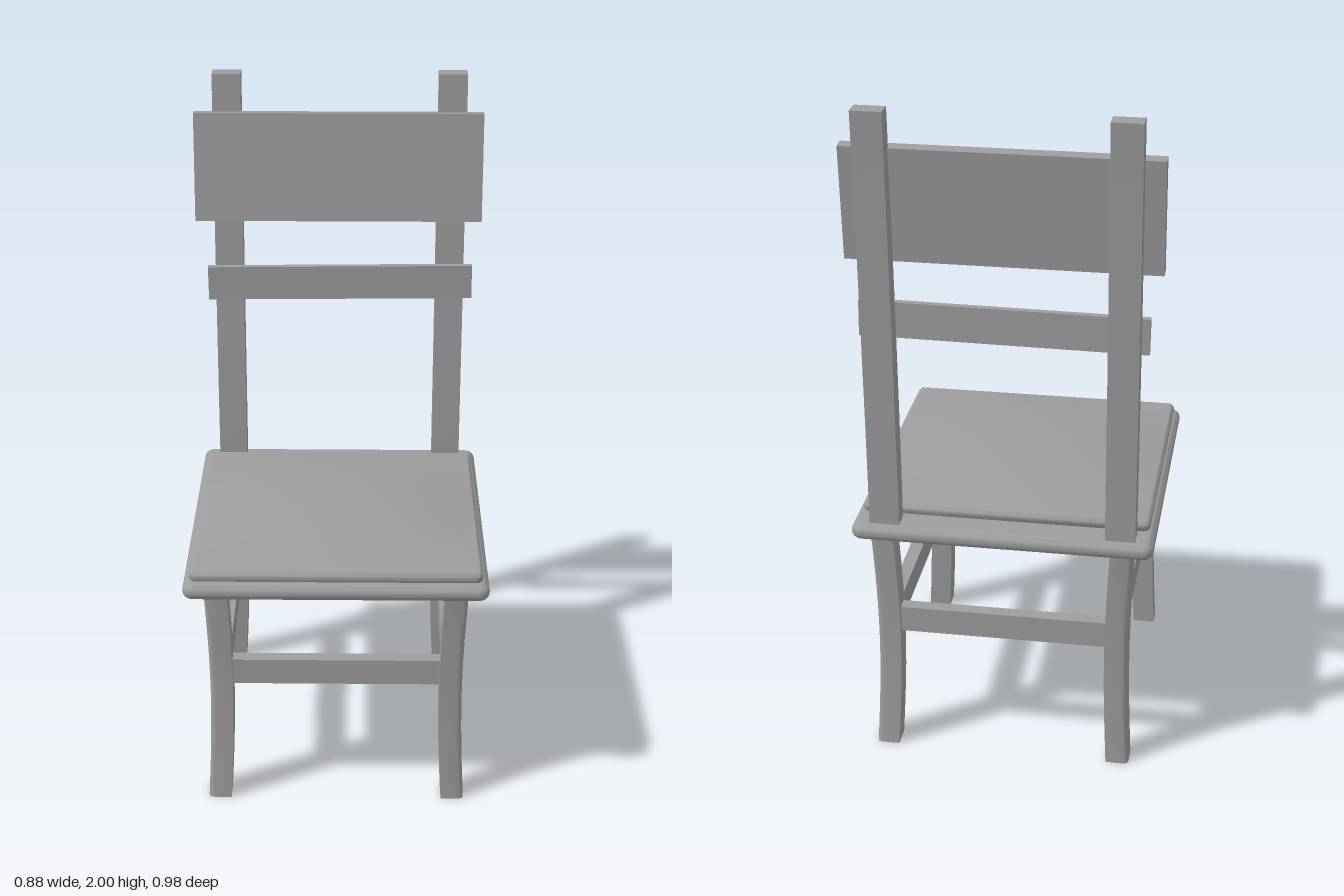
import * as THREE from 'three';
import { toCreasedNormals } from 'three/addons/utils/BufferGeometryUtils.js';

const material = new THREE.MeshStandardMaterial({ color: 0x9d9d9d });

// Moves every vertex by a rule, then keeps hard edges sharp
function bend(geometry, rule) {
  const p = geometry.attributes.position;
  const v = new THREE.Vector3();
  for (let i = 0; i < p.count; i++) {
    rule(v.fromBufferAttribute(p, i));
    p.setXYZ(i, v.x, v.y, v.z);
  }
  return toCreasedNormals(geometry, 0.6);
}

// Horizontal slab with rounded corners and bevelled rim
function slab(x, z0, z1, y0, y1, corner, bevel) {
  const a = x - bevel, b = (z1 - z0) / 2 - bevel, r = corner;
  const s = new THREE.Shape();
  s.moveTo(-a + r, -b);
  s.lineTo(a - r, -b).absarc(a - r, -b + r, r, -Math.PI / 2, 0);
  s.lineTo(a, b - r).absarc(a - r, b - r, r, 0, Math.PI / 2);
  s.lineTo(-a + r, b).absarc(-a + r, b - r, r, Math.PI / 2, Math.PI);
  s.lineTo(-a, -b + r).absarc(-a + r, -b + r, r, Math.PI, Math.PI * 1.5);
  const g = new THREE.ExtrudeGeometry(s, {
    depth: y1 - y0 - 2 * bevel, bevelThickness: bevel, bevelSize: bevel,
    bevelSegments: 5, curveSegments: 5,
  });
  g.rotateX(-Math.PI / 2).translate(0, y0 + bevel, (z0 + z1) / 2);
  return toCreasedNormals(g, 0.8);
}

// Square leg standing on y = 0, outer corner softened, bowed inward at mid-height
function legGeometry(sx, sz) {
  const w = 0.034, r = 0.018, height = 0.71;
  const s = new THREE.Shape();
  s.moveTo(-sx * w, sz * w);
  s.lineTo(sx * w, sz * w);
  s.lineTo(sx * w, -sz * (w - r));
  s.quadraticCurveTo(sx * w, -sz * w, sx * (w - r), -sz * w);
  s.lineTo(-sx * w, -sz * w);
  const g = new THREE.ExtrudeGeometry(s, {
    depth: height, steps: 12, curveSegments: 5, bevelEnabled: false,
  });
  return bend(g.rotateX(-Math.PI / 2), (v) => {
    const bow = 0.012 * Math.sin(Math.PI * v.y / height);
    v.x -= sx * bow;
    v.z -= sz * bow;
  });
}

export function createModel() {
  const chair = new THREE.Group();
  chair.name = 'chair';
  const add = (name, geometry, x = 0, y = 0, z = 0) => {
    const mesh = new THREE.Mesh(geometry, material);
    mesh.name = name;
    mesh.position.set(x, y, z);
    chair.add(mesh);
    return mesh;
  };

  // Seat board with a fully rounded rim
  add('seatBoard', slab(0.44, -0.463, 0.49, 0.702, 0.751, 0.008, 0.0235));

  // Cushion: thin rim and a gently domed top
  add('cushionRim', slab(0.422, -0.368, 0.46, 0.746, 0.781, 0.008, 0.014));
  const hx = 0.412, hz = 0.404;
  const dome = new THREE.PlaneGeometry(2 * hx, 2 * hz, 8, 8).rotateX(-Math.PI / 2);
  add('cushionTop', bend(dome, (v) => {
    v.y = 0.044 * (1 - (v.x / hx) ** 2) * (1 - (v.z / hz) ** 2);
  }), 0, 0.7805, 0.046);

  for (const sx of [-1, 1]) {
    // Front and back legs
    add('frontLeg', legGeometry(sx, 1), sx * 0.35, 0, 0.406);
    add('backLeg', legGeometry(sx, -1), sx * 0.35, 0, -0.414);

    // Back post, raked backwards towards the top
    const post = new THREE.BoxGeometry(0.087, 1.26, 0.056, 1, 12, 1);
    add('backPost', bend(post, (v) => {
      const t = v.y / 1.26 + 0.5;
      v.z -= 0.408 + 0.055 * t ** 1.45;
    }), sx * 0.343, 1.37, 0);

    add('sideStretcher', new THREE.BoxGeometry(0.04, 0.08, 0.715), sx * 0.335, 0.426, 0.002);
  }

  // Front and back stretchers
  for (const z of [0.393, -0.4]) {
    add(z > 0 ? 'frontStretcher' : 'backStretcher', new THREE.BoxGeometry(0.61, 0.08, 0.04), 0, 0.426, z);
  }

  // Wide top slat, leaning with the posts
  const topSlat = add('topSlat', new THREE.BoxGeometry(0.88, 0.332, 0.037), -0.003, 1.722, -0.404);
  topSlat.rotation.x = -0.095;

  // Narrow lower slat, slightly off level
  const lowerSlat = add('lowerSlat', new THREE.BoxGeometry(0.818, 0.106, 0.02), 0.002, 1.364, -0.365);
  lowerSlat.rotation.z = 0.01;

  return chair;
}
